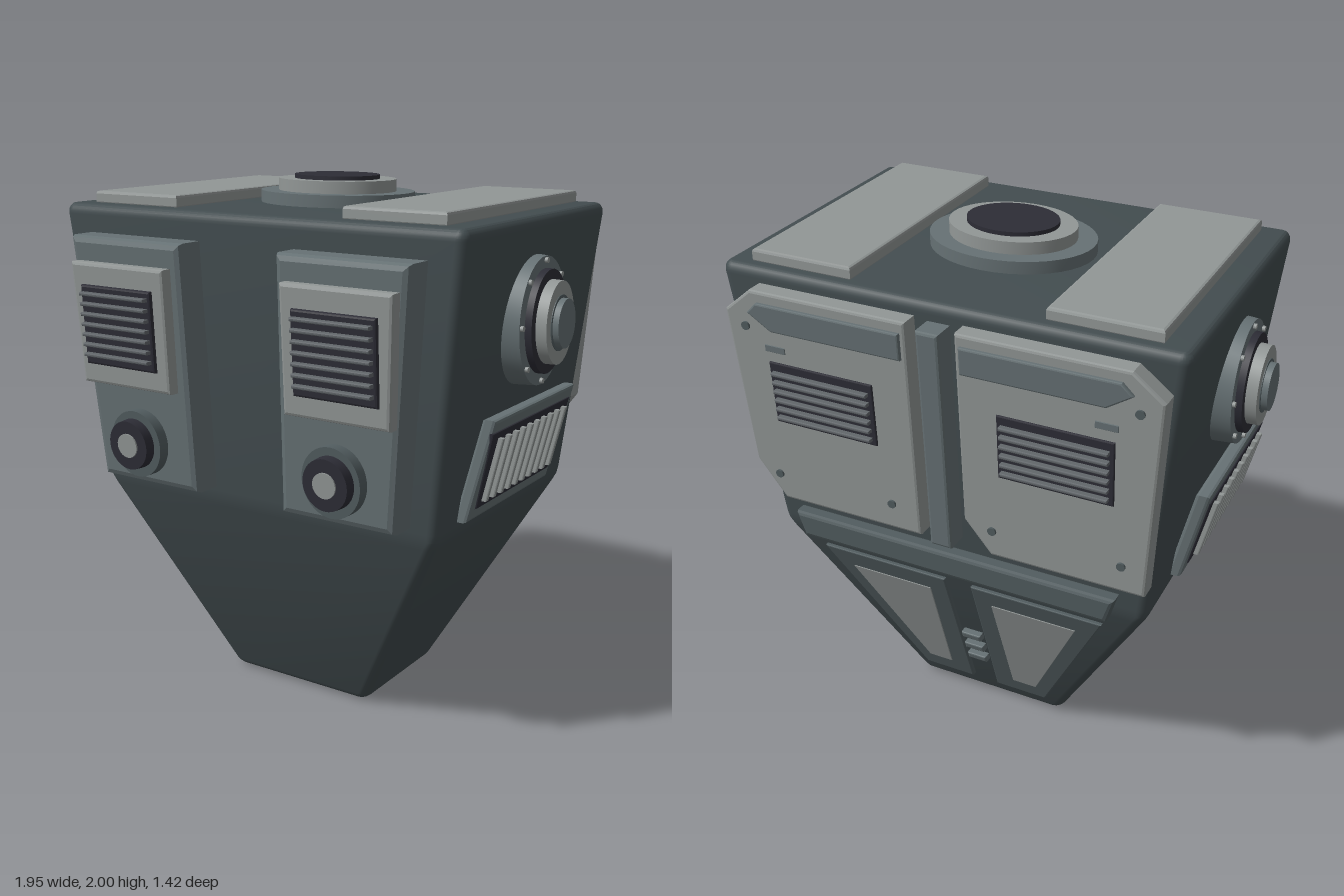
import * as THREE from 'three';
import { toCreasedNormals } from 'three/addons/utils/BufferGeometryUtils.js';

const mat = (name, color) => {
  const m = new THREE.MeshStandardMaterial({ color });
  m.name = name;
  return m;
};

const FRONT = 0, BACK = Math.PI, LEFT = Math.PI / 2, RIGHT = -Math.PI / 2;

// distance of each hull face from the centre at height y
const frontFace = y => 0.475 + (y - 0.82) * 0.052;
const backFace = y => 0.565 + (y - 0.82) * 0.051;
const lowerBack = y => 0.29 + y * 0.335;
const grilleFace = y => 0.75 + (y - 0.87) * 0.24;

const rect = (x0, y0, x1, y1) => [[x0, y0], [x1, y0], [x1, y1], [x0, y1]];

// bevelled plate with outline pts, rising from z = base by depth
function slab(pts, base, depth, bevel = 0.01) {
  const shape = new THREE.Shape(pts.map(p => new THREE.Vector2(...p)));
  const g = new THREE.ExtrudeGeometry(shape, {
    depth: depth - bevel * 2, bevelEnabled: bevel > 0, bevelThickness: bevel,
    bevelSize: bevel, bevelOffset: -bevel, bevelSegments: 2,
  });
  return g.translate(0, 0, base + bevel);
}

// elliptical disc facing +z
function disc(u, y, base, rx, ry, depth, r0 = 1) {
  return new THREE.CylinderGeometry(r0, 1, depth, 40).rotateX(Math.PI / 2)
    .scale(rx, ry, 1).translate(u, y, base + depth / 2);
}

// lean a geometry along a hull face, then turn it to that side
function place(g, turn, face) {
  const p = g.attributes.position;
  for (let i = 0; i < p.count; i++) p.setZ(i, p.getZ(i) + face(p.getY(i)));
  g.rotateY(turn);
  return toCreasedNormals(g, 0.3);
}

// lofted hull: rounded rectangles [y, half width, front z, back z, corner radius]
function hullGeometry() {
  const rings = [];
  const at = y => {
    const t = y < 0.82 ? y / 0.82 : (y - 0.82) / 1.075, L = THREE.MathUtils.lerp;
    return y < 0.82 ? [L(0.31, 0.75, t), L(0.215, 0.475, t), L(-0.285, -0.565, t)]
      : [L(0.75, 0.862, t), L(0.475, 0.53, t), L(-0.565, -0.622, t)];
  };
  const R = 0.04, N = 6;
  const add = (y, inset) => rings.push([y, inset, ...at(y)]);
  for (let i = 0; i <= 4; i++) {
    const a = i / 4 * Math.PI / 2;
    add(R * (1 - Math.sin(a)) * 0.8, R * (1 - Math.cos(a)));
  }
  rings.reverse();
  rings.sort((a, b) => a[0] - b[0]);
  add(0.79, 0); add(0.82, 0.003); add(0.85, 0);
  for (let i = 0; i <= 6; i++) {
    const a = i / 6 * Math.PI / 2;
    add(1.895 - R * (1 - Math.sin(a)), R * (1 - Math.cos(a)));
  }
  const pos = [], idx = [], n = 4 * (N + 1);
  for (const [y, inset, w, f, b] of rings) {
    const corners = [[w, f], [-w, f], [-w, b], [w, b]];
    corners.forEach(([x, z], c) => {
      const cx = x - Math.sign(x) * R, cz = z - Math.sign(z) * R, r = R - inset * 0.9;
      for (let k = 0; k <= N; k++) {
        const a = (c + k / N) * Math.PI / 2;
        pos.push(cx + r * Math.cos(a), y, cz + r * Math.sin(a));
      }
    });
  }
  const last = rings.length - 1;
  for (let j = 0; j < last; j++) for (let k = 0; k < n; k++) {
    const a = j * n + k, b = j * n + (k + 1) % n;
    idx.push(a, a + n, b, b, a + n, b + n);
  }
  for (let k = 1; k < n - 1; k++) {
    idx.push(0, k, k + 1);
    idx.push(last * n, last * n + k + 1, last * n + k);
  }
  const g = new THREE.BufferGeometry();
  g.setAttribute('position', new THREE.Float32BufferAttribute(pos, 3));
  g.setIndex(idx);
  return toCreasedNormals(g, 0.3);
}

export function createModel() {
  const root = new THREE.Group();
  root.name = 'armouredTorso';
  const hull = mat('hull slate', 0x434d50);
  const panel = mat('panel grey', 0x667174);
  const light = mat('light grey', 0x929796);
  const dark = mat('dark recess', 0x2d2d36);
  const slat = mat('slat grey', 0x62676b);
  const trim = mat('trim slate', 0x525d60);

  const add = (name, g, m) => {
    const mesh = new THREE.Mesh(g, m);
    mesh.name = name;
    root.add(mesh);
    return mesh;
  };
  const put = (name, g, m, turn, face) => add(name, place(g, turn, face), m);

  add('hull', hullGeometry(), hull);

  // roof plates and stepped hatch
  const roof = (g, y) => toCreasedNormals(g.rotateX(-Math.PI / 2).translate(0, y, 0), 0.3);
  for (const s of [-1, 1])
    add('roofPlate', roof(slab(rect(Math.min(s * 0.36, s * 0.755), -0.46, Math.max(s * 0.36, s * 0.755), 0.57), 0, 0.05), 1.888), light);
  add('hatchBase', roof(disc(0, 0.058, 0, 0.308, 0.25, 0.05), 1.89), panel);
  add('hatchRing', roof(disc(0, 0.058, 0, 0.236, 0.19, 0.095), 1.89), light);
  add('hatchCap', roof(disc(0, 0.058, 0, 0.17, 0.14, 0.11), 1.89), dark);

  // front pods: backing panel, louvred vent, round lamp
  for (const s of [-1, 1]) {
    const f = pts => pts.map(([x, y]) => [s * x, y]);
    put('frontPanel', slab(f([[0.19, 0.865], [0.65, 0.865], [0.725, 1.79], [0.205, 1.79]]), -0.03, 0.145, 0.025), panel, FRONT, frontFace);
    put('ventPlate', slab(f([[0.25, 1.245], [0.67, 1.245], [0.69, 1.70], [0.25, 1.70]]), 0.1, 0.06, 0.012), light, FRONT, frontFace);
    put('ventRecess', slab(f(rect(0.303, 1.322, 0.635, 1.62)), 0.15, 0.025, 0.008), dark, FRONT, frontFace);
    for (let i = 0; i < 7; i++) {
      const y = 1.355 + i * 0.038;
      put('ventSlat', slab(f(rect(0.315, y, 0.623, y + 0.013)), 0.16, 0.04, 0.004), slat, FRONT, frontFace);
    }
    put('lampHousing', disc(s * 0.435, 1.032, 0.1, 0.118, 0.128, 0.06), trim, FRONT, frontFace);
    put('lampRing', disc(s * 0.438, 1.035, 0.1, 0.096, 0.1, 0.1, 0.93), dark, FRONT, frontFace);
    put('lampLens', disc(s * 0.438, 1.035, 0.19, 0.046, 0.046, 0.016), light, FRONT, frontFace);
  }

  // side ports and slatted grilles
  for (const [s, turn] of [[1, LEFT], [-1, RIGHT]]) {
    const flat = () => 0, u0 = s * 0.02;
    const steps = [
      ['portFlange', 0.79, 0.885, 0.197, 0.235, panel], ['portCollar', 0.8, 0.91, 0.153, 0.19, dark],
      ['portRing', 0.8, 0.95, 0.12, 0.152, light], ['portGroove', 0.8, 0.953, 0.085, 0.102, trim],
      ['portCap', 0.8, 0.975, 0.075, 0.09, panel]];
    for (const [name, a, b, rx, ry, m] of steps)
      put(name, disc(u0, 1.53, a, rx, ry, b - a, 0.97), m, turn, flat);
    for (let i = 0; i < 8; i++) {
      const a = i * Math.PI / 4;
      put('portBolt', disc(u0 + 0.178 * Math.cos(a), 1.53 + 0.213 * Math.sin(a), 0.88, 0.01, 0.01, 0.016), light, turn, flat);
    }
    const f = pts => pts.map(([u, y]) => [s * u, y]);
    put('sideGrilleFrame', slab(f([[-0.335, 0.865], [0.33, 0.865], [0.35, 1.24], [-0.315, 1.24]]), -0.01, 0.052, 0.012), panel, turn, grilleFace);
    put('sideGrilleRecess', slab(f([[-0.295, 0.91], [0.3, 0.91], [0.317, 1.195], [-0.318, 1.195]]), 0.03, 0.018, 0.005), dark, turn, grilleFace);
    for (let i = 0; i < 10; i++) {
      const u = -0.262 + i * 0.058;
      put('sideGrilleSlat', slab(f(rect(u - 0.009, 0.935, u + 0.009, 1.17)), 0.04, 0.028, 0.005), light, turn, grilleFace);
    }
  }

  // upper back plates with header strip, louvres, slot and bolts
  const outlines = {
    '1': [[0.09, 1.84], [0.7, 1.84], [0.81, 1.75], [0.765, 0.98], [0.19, 0.98], [0.09, 1.11]],
    '-1': [[-0.09, 1.84], [-0.7, 1.84], [-0.81, 1.75], [-0.775, 1.13], [-0.67, 0.98], [-0.09, 0.98]],
  };
  for (const s of [-1, 1]) {
    const b = pts => pts.map(([u, y]) => [s * u, y]);
    put('backPlate', slab(outlines[s], -0.01, 0.08), light, BACK, backFace);
    put('backHeader', slab(b([[0.11, 1.70], [0.62, 1.70], [0.71, 1.76], [0.67, 1.80], [0.11, 1.80]]), 0.06, 0.025, 0.006), panel, BACK, backFace);
    put('backVentRecess', slab(b(rect(0.235, 1.33, 0.65, 1.575)), 0.06, 0.018, 0.004), dark, BACK, backFace);
    for (let i = 0; i < 6; i++) {
      const y = 1.35 + i * 0.036;
      put('backVentSlat', slab(b(rect(0.25, y, 0.635, y + 0.013)), 0.07, 0.03, 0.004), slat, BACK, backFace);
    }
    put('backSlot', slab(b(rect(0.58, 1.615, 0.66, 1.64)), 0.066, 0.008, 0.001), panel, BACK, backFace);
    for (const [u, y] of [[0.2, 1.09], [0.68, 1.09], [0.73, 1.70]])
      put('backBolt', disc(s * u, y, 0.066, 0.016, 0.016, 0.012), trim, BACK, backFace);

    // lower back doors
    put('lowerDoor', slab(b([[0.055, 0.09], [0.27, 0.09], [0.58, 0.73], [0.055, 0.73]]), -0.01, 0.027, 0.005), trim, BACK, lowerBack);
    put('lowerDoorInset', slab(b([[0.14, 0.16], [0.24, 0.16], [0.47, 0.65], [0.13, 0.65]]), 0.014, 0.007, 0.001), light, BACK, lowerBack);
  }
  put('backSpine', slab(rect(-0.042, 0.97, 0.042, 1.83), -0.01, 0.1), panel, BACK, backFace);
  put('backCrossbar', slab([[-0.62, 0.805], [0.62, 0.805], [0.65, 0.91], [-0.65, 0.91]], -0.01, 0.065, 0.015), trim, BACK, backFace);
  for (const y of [0.26, 0.33, 0.4])
    put('doorHinge', slab(rect(-0.04, y - 0.016, 0.04, y + 0.016), -0.01, 0.04, 0.006), panel, BACK, lowerBack);

  return root;
}
